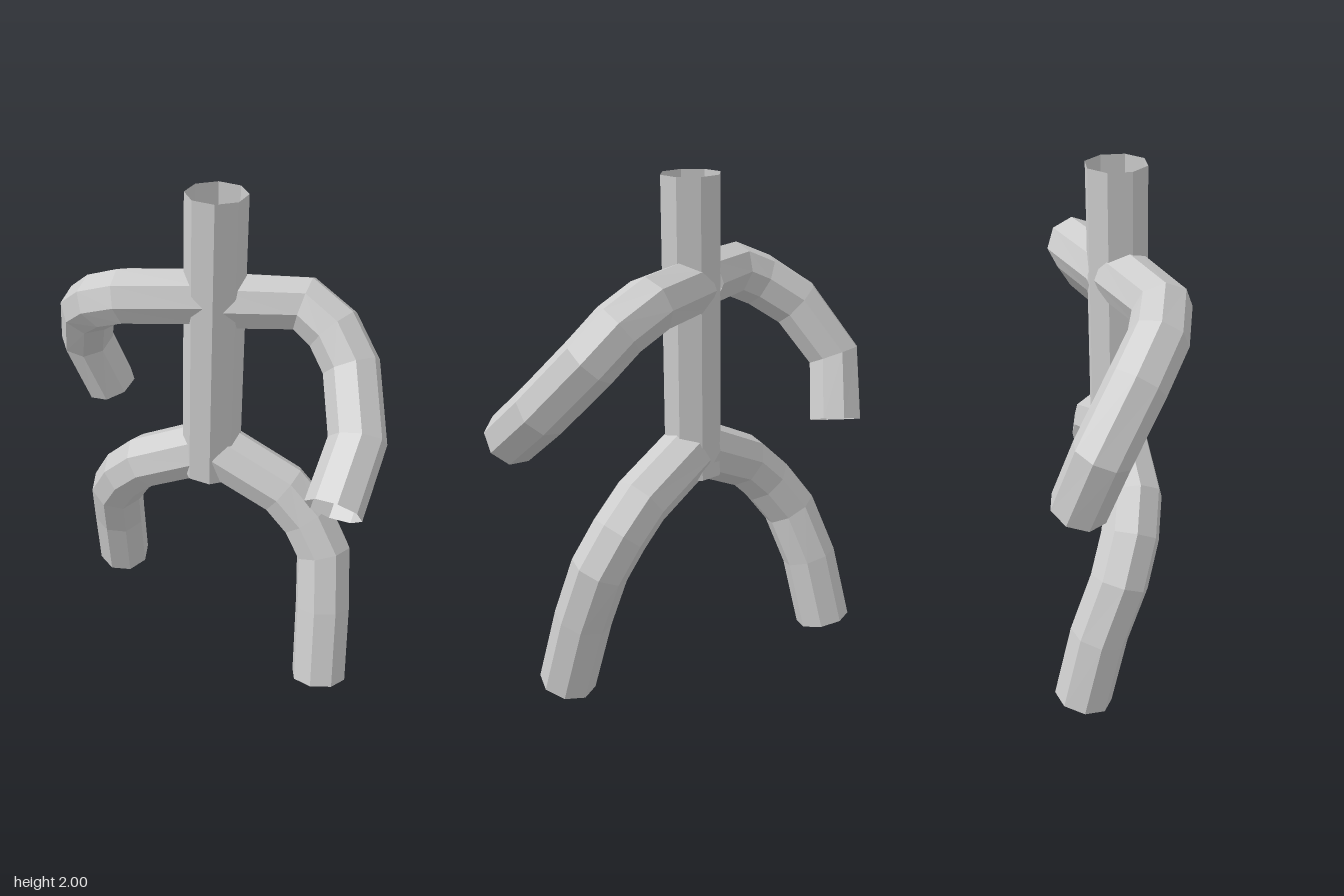
import * as THREE from 'three';

const RADIUS = 0.113;
const SIDES = 8;

const material = new THREE.MeshStandardMaterial({
  color: 0xcccccc, flatShading: true, side: THREE.DoubleSide,
});

// Open octagonal tube with one ring at each spine point
function limb(name, points, radius = RADIUS) {
  const spine = new THREE.CatmullRomCurve3(points.map((p) => new THREE.Vector3(...p)));
  spine.getPointAt = spine.getPoint;
  spine.getTangentAt = spine.getTangent;
  const mesh = new THREE.Mesh(
    new THREE.TubeGeometry(spine, points.length - 1, radius, SIDES, false), material);
  mesh.name = name;
  return mesh;
}

export function createModel() {
  const model = new THREE.Group();
  model.name = 'walkingFigure';

  // Torso and neck: one nearly upright tube
  model.add(limb('torso', [[-0.005, 0.83, -0.035], [0.015, 2, -0.03]], 0.116));

  // Left arm swings forward
  model.add(limb('leftArm', [
    [0.03, 1.58, -0.04], [0.34, 1.58, -0.035], [0.45, 1.51, 0.03],
    [0.52, 1.4, 0.11], [0.548, 1.2, 0.3], [0.465, 1.03, 0.505],
  ], 0.109));

  // Right arm swings back
  model.add(limb('rightArm', [
    [-0.03, 1.595, -0.04], [-0.33, 1.585, -0.045], [-0.43, 1.53, -0.12],
    [-0.51, 1.43, -0.25], [-0.55, 1.22, -0.41], [-0.467, 0.97, -0.46],
  ], 0.109));

  // Left leg steps forward
  model.add(limb('leftLeg', [
    [0.03, 0.925, -0.03], [0.29, 0.795, 0.04], [0.39, 0.69, 0.08],
    [0.46, 0.56, 0.13], [0.467, 0.34, 0.205], [0.465, 0.03, 0.29],
  ]));

  // Right leg trails behind
  model.add(limb('rightLeg', [
    [-0.02, 0.925, -0.05], [-0.28, 0.795, -0.13], [-0.37, 0.69, -0.195],
    [-0.435, 0.55, -0.28], [-0.445, 0.34, -0.375], [-0.445, 0.055, -0.45],
  ]));

  return model;
}
